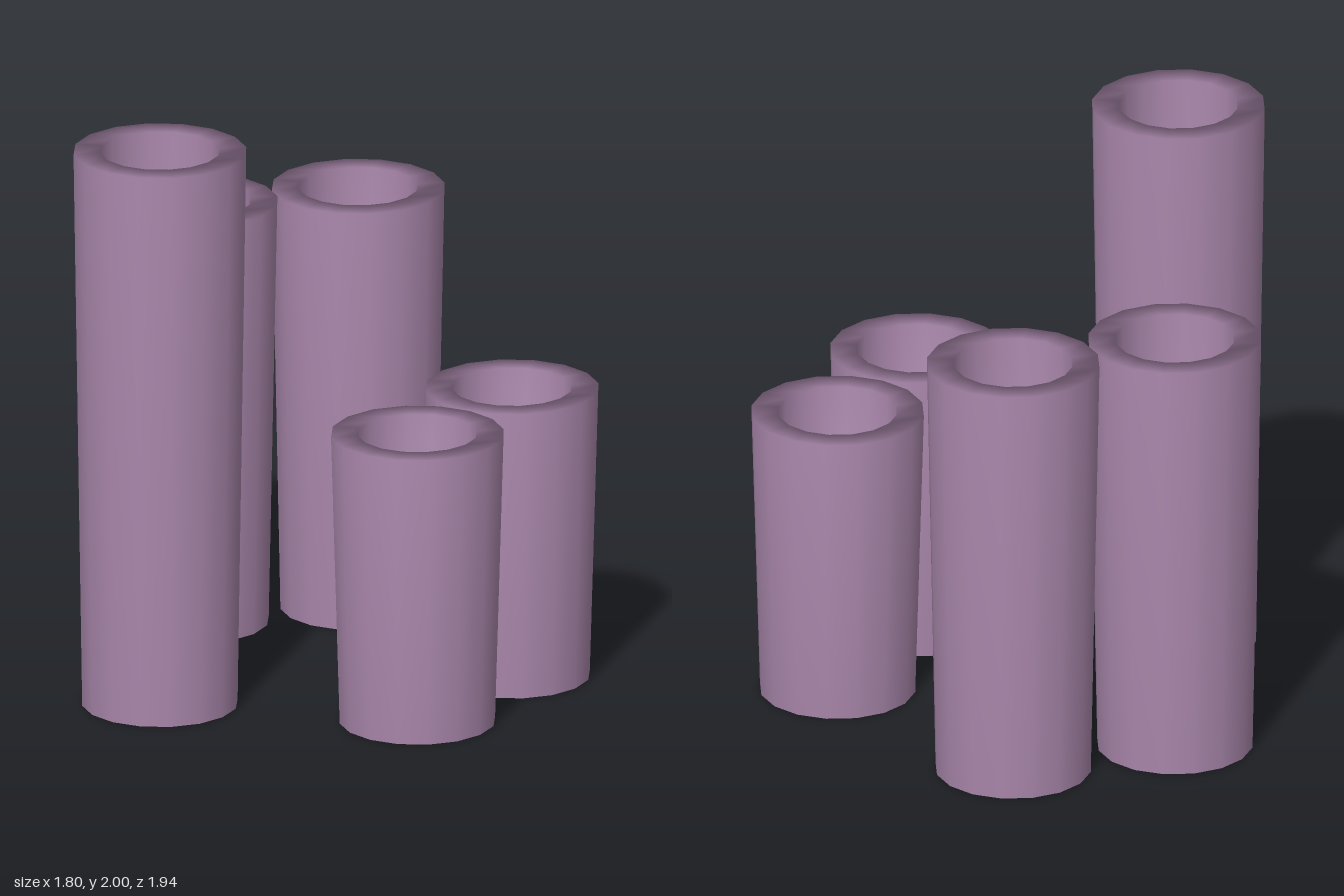
import * as THREE from 'three';

const SIDES = 16;
const BOTTOM_RADIUS = 0.27, TOP_RADIUS = 0.3, BORE_RADIUS = 0.207, FLOOR_Y = 0.23;

// Tapered outer wall, flat rim, deep bore and a recessed floor; open underneath
function tubeGeometry(height) {
  const profile = [
    [BOTTOM_RADIUS, 0],
    [TOP_RADIUS, height],
    [BORE_RADIUS, height],
    [BORE_RADIUS, FLOOR_Y],
    [0, FLOOR_Y],
  ].map(([r, y]) => new THREE.Vector2(r, y));
  return new THREE.LatheGeometry(profile, SIDES);
}

export function createModel() {
  const group = new THREE.Group();
  group.name = 'tubeCluster';
  const material = new THREE.MeshStandardMaterial({ color: 0xa886aa, side: THREE.DoubleSide });

  // Name, x, z, height
  const tubes = [
    ['tallTube', -0.6, 0.05, 2],
    ['mediumTubeBack', -0.05, -0.67, 1.52],
    ['mediumTubeBackLeft', 0.52, -0.505, 1.52],
    ['shortTubeLeft', 0.6, 0.4, 1.04],
    ['shortTubeFront', 0.065, 0.665, 1.04],
  ];
  for (const [name, x, z, height] of tubes) {
    const tube = new THREE.Mesh(tubeGeometry(height), material);
    tube.name = name;
    tube.position.set(x, 0, z);
    group.add(tube);
  }
  return group;
}
